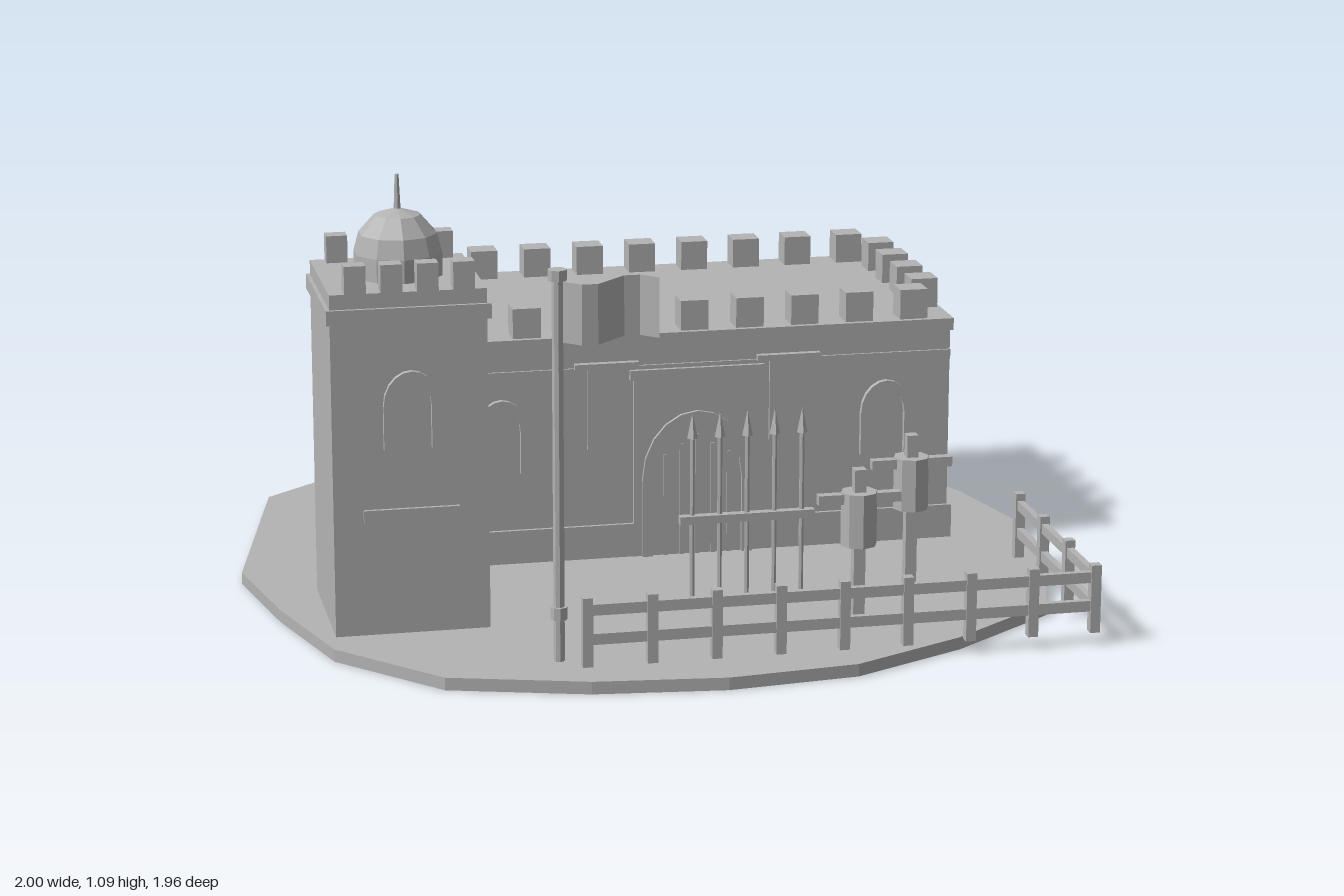
import * as THREE from 'three';

const stone = new THREE.MeshStandardMaterial({ color: 0xb4b4b4 });
stone.name = 'stone grey';
stone.flatShading = true;
const cloth = new THREE.MeshStandardMaterial({ color: 0xb4b4b4, side: THREE.DoubleSide });
cloth.name = 'cloth grey';
cloth.flatShading = true;

function add(parent, name, geometry, x = 0, y = 0, z = 0, material = stone) {
  const mesh = new THREE.Mesh(geometry, material);
  mesh.name = name;
  mesh.position.set(x, y, z);
  parent.add(mesh);
  return mesh;
}

// Box given by its limits on each axis
function block(parent, name, x0, x1, y0, y1, z0, z1) {
  return add(parent, name, new THREE.BoxGeometry(x1 - x0, y1 - y0, z1 - z0),
    (x0 + x1) / 2, (y0 + y1) / 2, (z0 + z1) / 2);
}

// Upright cylinder from y0 to y1
function column(parent, name, rTop, rBottom, y0, y1, x, z, sides = 8) {
  return add(parent, name, new THREE.CylinderGeometry(rTop, rBottom, y1 - y0, sides), x, (y0 + y1) / 2, z);
}

function group(parent, name) {
  const g = new THREE.Group();
  g.name = name;
  parent.add(g);
  return g;
}

const extrude = (shape, depth) =>
  new THREE.ExtrudeGeometry(shape, { depth, bevelEnabled: false, curveSegments: 5 });

// Open-footed arch moulding: half width w, height h, moulding width t
function archFrame(w, h, t, depth) {
  const s = new THREE.Shape();
  const spring = h - w * 1.25, i = w - t, top = h - t;
  s.moveTo(-w, 0);
  s.lineTo(-i, 0);
  s.lineTo(-i, spring);
  s.bezierCurveTo(-i, spring + (top - spring) * 0.6, -i * 0.5, top, 0, top);
  s.bezierCurveTo(i * 0.5, top, i, spring + (top - spring) * 0.6, i, spring);
  s.lineTo(i, 0);
  s.lineTo(w, 0);
  s.lineTo(w, spring);
  s.bezierCurveTo(w, spring + (h - spring) * 0.6, w * 0.5, h, 0, h);
  s.bezierCurveTo(-w * 0.5, h, -w, spring + (h - spring) * 0.6, -w, spring);
  return extrude(s, depth);
}

function buildGround(root) {
  const rim = [[-0.32, -0.98], [0.31, -0.955], [0.63, -0.89], [0.82, -0.62], [0.93, -0.32], [1, -0.02],
    [0.96, 0.29], [0.865, 0.61], [0.59, 0.81], [0.31, 0.945], [0, 0.975], [-0.31, 0.94], [-0.63, 0.845],
    [-0.85, 0.6], [-0.94, 0.29], [-1, -0.02], [-0.865, -0.65], [-0.61, -0.86]];
  const shape = new THREE.Shape(rim.map(([x, z]) => new THREE.Vector2(x, -z)));
  add(root, 'ground', extrude(shape, 0.03).rotateX(-Math.PI / 2));
}

function buildKeep(root) {
  const keep = group(root, 'keep');
  block(keep, 'keepWalls', -0.525, 0.78, 0.03, 0.572, -0.675, 0.038);
  block(keep, 'keepPlinth', -0.535, 0.79, 0.03, 0.115, -0.683, 0.047);
  block(keep, 'keepCornice', -0.532, 0.787, 0.57, 0.6, -0.682, 0.045);
  block(keep, 'stringCourse', -0.525, 0.78, 0.495, 0.52, 0.03, 0.044);

  // Battlements on all four sides
  for (let i = 0; i < 9; i++) {
    const x = -0.433 + i * 0.14;
    for (const z of [-0.002, -0.638]) block(keep, 'merlon', x - 0.035, x + 0.035, 0.6, 0.675, z - 0.033, z + 0.033);
  }
  for (let i = 0; i < 4; i++) {
    const z = -0.528 + i * 0.139;
    for (const x of [-0.487, 0.745]) block(keep, 'merlon', x - 0.034, x + 0.034, 0.6, 0.675, z - 0.034, z + 0.034);
  }

  // Window mouldings on the front and both ends
  for (const x of [-0.36, 0.615]) add(keep, 'windowFrame', archFrame(0.066, 0.19, 0.02, 0.018), x, 0.26, 0.035);
  for (const s of [-1, 1]) {
    const frame = add(keep, 'sideWindowFrame', archFrame(0.066, 0.19, 0.02, 0.018), s > 0 ? 0.776 : -0.521, 0.26, -0.315);
    frame.rotation.y = s * Math.PI / 2;
  }

  // Gateway: raised surround, arch and portcullis
  const gate = group(keep, 'gateway');
  block(gate, 'gateSurround', -0.03, 0.29, 0.03, 0.49, 0.03, 0.048);
  block(gate, 'gateLintel', -0.04, 0.3, 0.485, 0.51, 0.03, 0.055);
  add(gate, 'gateArch', archFrame(0.14, 0.37, 0.027, 0.018), 0.13, 0.03, 0.04);
  for (let i = -2; i <= 2; i++) {
    block(gate, 'gateBar', 0.125 + i * 0.04, 0.135 + i * 0.04, 0.03, 0.34 - Math.abs(i) * 0.025, 0.04, 0.052);
  }

  // Hanging banners with pointed ends
  for (const x of [-0.1, 0.36]) {
    const s = new THREE.Shape([[-0.048, 0.525], [-0.048, 0.315], [0, 0.235], [0.048, 0.315], [0.048, 0.525]]
      .map(([a, b]) => new THREE.Vector2(a, b)));
    add(keep, 'wallBanner', extrude(s, 0.008), x, 0, 0.05);
    block(keep, 'bannerRod', x - 0.08, x + 0.08, 0.52, 0.535, 0.048, 0.066);
  }
}

function buildTower(root) {
  const tower = group(root, 'tower');
  block(tower, 'towerWalls', -0.835, -0.47, 0.03, 0.85, 0.15, 0.515);
  block(tower, 'towerCornice', -0.844, -0.461, 0.78, 0.815, 0.141, 0.524);
  for (let i = 0; i < 4; i++) {
    const x = -0.775 + i * 0.084;
    for (const z of [0.172, 0.494]) block(tower, 'merlon', x - 0.025, x + 0.025, 0.85, 0.915, z - 0.021, z + 0.021);
  }
  add(tower, 'towerWindowFrame', archFrame(0.066, 0.185, 0.02, 0.02), -0.65, 0.48, 0.51);
  block(tower, 'towerLedge', -0.765, -0.54, 0.305, 0.335, 0.5, 0.524);

  // Faceted dome on a short drum
  const profile = [[0.105, 0.85], [0.105, 0.905], [0.093, 0.95], [0.055, 0.993], [0, 1.01]]
    .map(([r, y]) => new THREE.Vector2(r, y));
  add(tower, 'dome', new THREE.LatheGeometry(profile, 10), -0.65, 0, 0.335);
  column(tower, 'spire', 0.005, 0.009, 1, 1.088, -0.65, 0.335, 6);
}

function buildFlag(root) {
  const flag = group(root, 'flagpole');
  const x = -0.355, z = 0.78;
  column(flag, 'pole', 0.013, 0.013, 0.03, 0.93, x, z);
  column(flag, 'poleCap', 0.022, 0.022, 0.925, 0.95, x, z);
  column(flag, 'poleCollar', 0.02, 0.02, 0.13, 0.16, x, z);
  const sheet = new THREE.PlaneGeometry(0.22, 0.14, 6, 1);
  const p = sheet.attributes.position;
  for (let i = 0; i < p.count; i++) p.setZ(i, 0.04 * Math.sin((p.getX(i) + 0.11) * 28.6));
  sheet.computeVertexNormals();
  add(flag, 'flag', sheet, -0.232, 0.85, z, cloth);
}

function buildFence(root) {
  const fence = group(root, 'fence');
  const post = (x, z) => block(fence, 'fencePost', x - 0.012, x + 0.012, 0.03, 0.195, z - 0.012, z + 0.012);
  for (let i = 0; i < 9; i++) post(-0.3 + i * 0.151, 0.832);
  for (let i = 0; i < 3; i++) post(0.908, 0.24 + i * 0.197);
  for (const y of [0.095, 0.165]) {
    block(fence, 'frontRail', -0.31, 0.915, y - 0.013, y + 0.013, 0.824, 0.84);
    block(fence, 'sideRail', 0.9, 0.916, y - 0.012, y + 0.012, 0.23, 0.838);
  }
}

function buildSpears(root) {
  const rack = group(root, 'spearRack');
  block(rack, 'rackBar', 0, 0.33, 0.23, 0.25, 0.428, 0.45);
  for (let i = 0; i < 5; i++) {
    const x = 0.032 + i * 0.067;
    column(rack, 'spearShaft', 0.006, 0.006, 0.03, 0.45, x, 0.436, 6);
    column(rack, 'spearHead', 0, 0.013, 0.44, 0.505, x, 0.436, 4);
  }
}

function buildDummies(root) {
  for (const [x, z] of [[0.39, 0.63], [0.59, 0.37]]) {
    const dummy = group(root, 'trainingDummy');
    block(dummy, 'dummyPost', x - 0.014, x + 0.014, 0.03, 0.4, z - 0.014, z + 0.014);
    column(dummy, 'dummyBody', 0.044, 0.044, 0.215, 0.345, x, z);
    block(dummy, 'dummyArms', x - 0.1, x + 0.1, 0.317, 0.341, z - 0.012, z + 0.012);
  }
}

export function createModel() {
  const root = new THREE.Group();
  root.name = 'castle';
  [buildGround, buildKeep, buildTower, buildFlag, buildFence, buildSpears, buildDummies].forEach((build) => build(root));
  return root;
}
